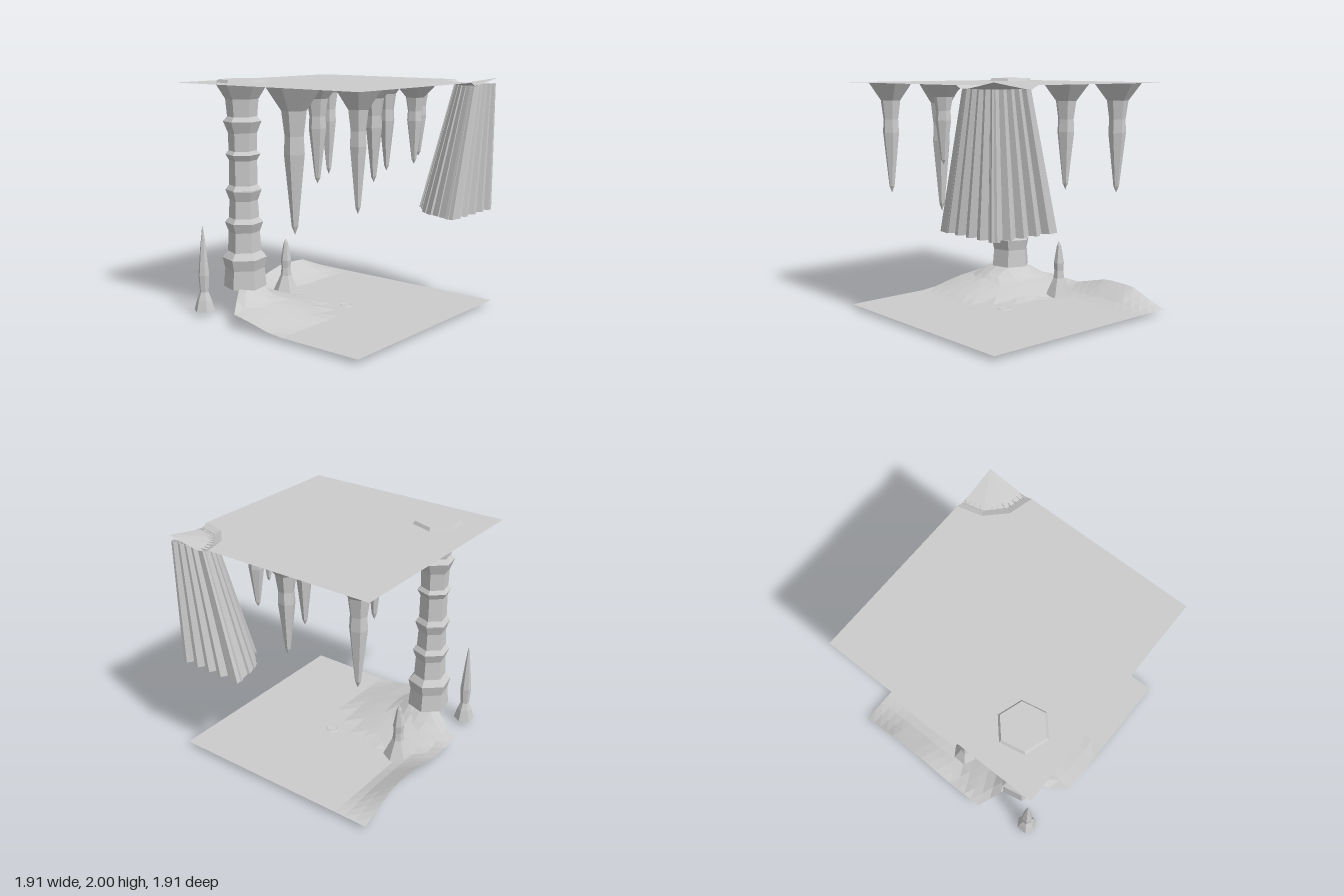
import * as THREE from 'three';

const FLOOR = 0.037, CEIL = 1.975, H = 0.957;
const rock = new THREE.MeshStandardMaterial({ color: 0xcccccc, flatShading: true, side: THREE.DoubleSide });

function add(group, name, geometry) {
  const mesh = new THREE.Mesh(geometry, rock);
  mesh.name = name;
  group.add(mesh);
  return mesh;
}

// six-sided turned rock; profile is [radius, y] from bottom to top
function turned(profile, sides = 6) {
  return new THREE.LatheGeometry(profile.map(([r, y]) => new THREE.Vector2(r, y)), sides);
}

// sheet from rows of points, seen from above when rows run along +x and points along +z
function sheet(rows) {
  const n = rows[0].length, index = [];
  for (let i = 0; i < rows.length - 1; i++) {
    for (let j = 0; j < n - 1; j++) {
      const a = i * n + j, b = a + n;
      index.push(a, a + 1, b, b, a + 1, b + 1);
    }
  }
  const g = new THREE.BufferGeometry();
  g.setAttribute('position', new THREE.Float32BufferAttribute(rows.flat(2), 3));
  g.setIndex(index);
  g.computeVertexNormals();
  return g;
}

// piecewise linear lookup in [x, value] pairs
function lookup(table, x) {
  if (x <= table[0][0]) return table[0][1];
  for (let i = 1; i < table.length; i++) {
    const [x0, v0] = table[i - 1], [x1, v1] = table[i];
    if (x <= x1) return v0 + (v1 - v0) * (x - x0) / (x1 - x0);
  }
  return table[table.length - 1][1];
}

// floor height: mound round the column plus a bank along the left edge
const mound = [[0.17, 0.213], [0.24, 0.16], [0.34, 0.105], [0.5, 0.07], [0.76, 0]];
const bank = [[-0.95, 0], [-0.75, 0.08], [-0.6, 0.14], [-0.3, 0.148], [-0.1, 0.1], [0.05, 0.06], [0.4, 0.07]];
function floorHeight(x, z) {
  const fall = Math.max(0, 1 - (x + H) / 0.26);
  const dz = (z - 0.59) * (z < 0.59 ? 1.28 : 1);
  const m = lookup(mound, Math.hypot(x + 0.565, dz));
  return FLOOR + Math.max(m, lookup(bank, z) * fall);
}

function floorGeometry() {
  // the floor breaks off at the front left corner, behind the column
  const edge = [[-H, 0.4], [-0.75, 0.5], [-0.57, 0.62], [-0.43, 0.82], [-0.32, H]];
  const xs = [-H, -0.85, -0.75, -0.66, -0.57, -0.5, -0.43, -0.32, -0.24, -0.1, 0.05, 0.2, 0.55, H];
  return sheet(xs.map(x => {
    const row = [], zMax = lookup(edge, x), n = 16;
    for (let j = 0; j <= n; j++) {
      const z = -H + (zMax + H) * j / n;
      row.push([x, floorHeight(x, z), z]);
    }
    return row;
  }));
}

// ceiling slab with a clipped back right corner
const NOTCH = 0.42;
const quarter = (r, i) => {
  const a = i / 3 * Math.PI / 2;
  return [H - r * Math.cos(a), -H + r * Math.sin(a)];
};
function ceilingGeometry() {
  const outline = [[-H, -H], ...[0, 1, 2, 3].map(i => quarter(NOTCH, i)), [H, H], [-H, H]];
  const shape = new THREE.Shape(outline.map(([x, z]) => new THREE.Vector2(x, -z)));
  return new THREE.ShapeGeometry(shape).rotateX(-Math.PI / 2).translate(0, CEIL, 0);
}

// dip in the clipped corner, rising again to the corner point
function shoulderGeometry() {
  const rings = [[NOTCH, CEIL], [0.35, 1.94], [0.001, 2.0]];
  return sheet(rings.map(([r, y]) => [0, 1, 2, 3].map(i => {
    const [x, z] = quarter(r, i);
    return [x, y, z];
  })));
}

// pleated drapery: a closed quarter round, folded along its arc and both straight sides
function curtainGeometry() {
  const top = [], bottom = [];
  // place a point given its distances from the corner along -x and +z
  const point = (u, v, out) => {
    top.push([H - u * 0.56, 1.95, -H + v * 0.56]);
    bottom.push([H - u, 0.865, -H + v]);
    return out;
  };
  const R = 0.645, arcFolds = 11, sideFolds = 5;
  const shifts = [0, -0.2, 0.4, 0.15];
  const side = (t, k, flip) => {
    const along = R * t, inset = k === 1 || k === 2 ? 0.002 : 0.055;
    if (flip) point(inset, along); else point(along, inset);
  };
  for (let i = 0; i <= sideFolds * 4; i++) side(i / (sideFolds * 4), i % 4, false);
  for (let i = 0; i <= arcFolds * 4; i++) {
    const k = i % 4, fold = Math.floor(i / 4);
    const depth = k === 1 || k === 2 ? 0.012 * (1 + Math.sin(fold * 1.7)) : 0.085 + 0.03 * Math.sin(fold * 2.4);
    const t = (i / 4 + shifts[k] + 0.12 * Math.sin(fold * 3.1)) / arcFolds;
    const a = THREE.MathUtils.clamp(t, 0, 1) * Math.PI / 2;
    point((R - depth) * Math.cos(a), (R - depth) * Math.sin(a));
  }
  for (let i = sideFolds * 4; i >= 0; i--) side(i / (sideFolds * 4), i % 4, true);
  return sheet([top, bottom]);
}

export function createModel() {
  const model = new THREE.Group();
  model.name = 'cave';

  add(model, 'floor', floorGeometry());
  add(model, 'ceiling', ceilingGeometry());
  add(model, 'curtainShoulder', shoulderGeometry());
  add(model, 'curtain', curtainGeometry());

  // ringed column from mound to ceiling
  const column = add(model, 'column', turned([
    [0.182, 0.24], [0.168, 0.4], [0.19, 0.495], [0.142, 0.55], [0.132, 0.72], [0.162, 0.8], [0.128, 0.84],
    [0.12, 0.99], [0.15, 1.07], [0.15, 1.08], [0.12, 1.12], [0.118, 1.33], [0.147, 1.38], [0.118, 1.41],
    [0.122, 1.56], [0.16, 1.655], [0.125, 1.695], [0.138, 1.84], [0.215, 1.965], [0.19, 2.0], [0, 2.0]]));
  column.position.set(-0.565, 0, 0.58);
  column.rotation.y = 0.2;

  // stalactites: x, z, tip height, top radius
  const hanging = [
    [0.14, 0.72, 0.81, 0.22], [0.72, 0.66, 1.04, 0.19], [-0.11, 0.15, 1.12, 0.2], [0.22, -0.2, 1.12, 0.19],
    [0.72, -0.07, 1.34, 0.17], [0.47, -0.5, 1.34, 0.17], [-0.01, -0.7, 1.14, 0.19], [-0.66, -0.66, 1.05, 0.2]];
  const taper = [[0, 0], [0.06, 0.12], [0.55, 0.37], [0.67, 0.34], [0.84, 0.45], [1, 1]];
  hanging.forEach(([x, z, tip, r], i) => {
    const s = add(model, 'stalactite', turned(taper.map(([t, k]) => [r * k, tip + t * (CEIL - tip)])));
    s.position.set(x, 0, z);
    s.rotation.y = 0.3 + i * 0.37;
  });

  // stalagmites
  const tall = add(model, 'stalagmite', turned([
    [0.09, FLOOR], [0.065, 0.13], [0.038, 0.2], [0.048, 0.35], [0.024, 0.6], [0.008, 0.74], [0, 0.78]]));
  tall.position.set(-0.8, 0, 0.84);
  const short = add(model, 'stalagmite', turned([
    [0.125, FLOOR], [0.05, 0.2], [0.042, 0.27], [0.047, 0.34], [0.02, 0.5], [0, 0.54]]));
  short.position.set(-0.63, 0, -0.01);

  // drip basin in the middle of the floor
  const basin = add(model, 'dripBasin', turned([
    [0, 0], [0.03, 0.015], [0.058, FLOOR], [0.048, FLOOR + 0.006], [0.038, FLOOR + 0.002]], 10));
  basin.position.set(0.055, 0, -0.04);

  return model;
}
